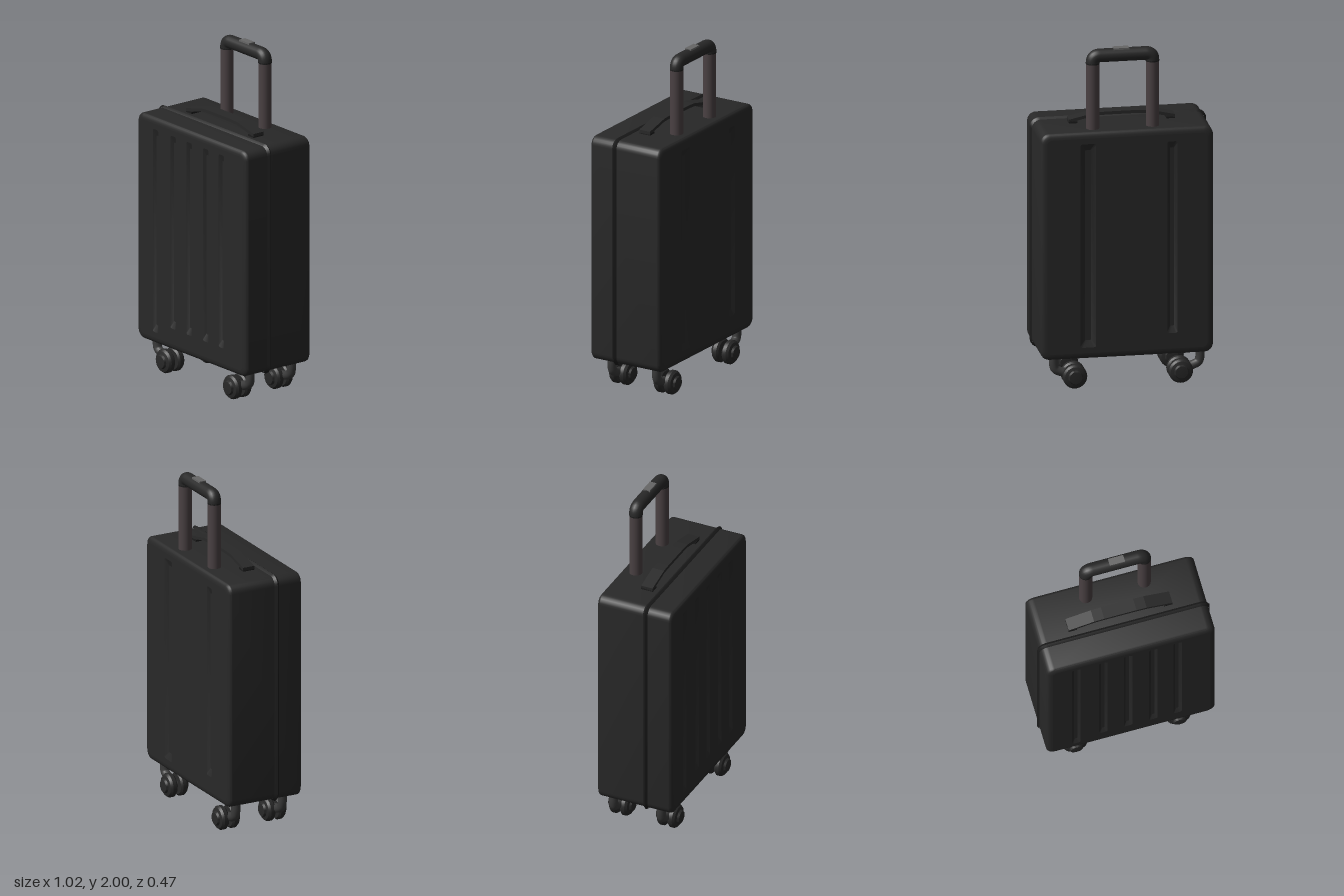
import * as THREE from 'three';
import { toCreasedNormals } from 'three/addons/utils/BufferGeometryUtils.js';

const mat = (color) => new THREE.MeshStandardMaterial({ color });
const shellMat = mat(0x282828), trimMat = mat(0x1c1c1c), postMat = mat(0x4a4143);
const stemMat = mat(0x3a3a3a), buttonMat = mat(0x666666);

function mesh(name, geometry, material, parent, x = 0, y = 0, z = 0) {
  const m = new THREE.Mesh(geometry, material);
  m.name = name;
  m.position.set(x, y, z);
  parent.add(m);
  return m;
}

// Counter-clockwise rounded rectangle outline
function roundRect(x0, x1, y0, y1, r, steps = 6) {
  const pts = [];
  [[x1 - r, y0 + r, -90], [x1 - r, y1 - r, 0], [x0 + r, y1 - r, 90], [x0 + r, y0 + r, 180]].forEach(([cx, cy, start]) => {
    for (let i = 0; i <= steps; i++) {
      const a = THREE.MathUtils.degToRad(start + (90 * i) / steps);
      pts.push(new THREE.Vector2(cx + r * Math.cos(a), cy + r * Math.sin(a)));
    }
  });
  return pts;
}

// Skin through closed rings stacked along z
function loft(rings, crease = 0.6) {
  const pos = [], idx = [], n = rings[0].pts.length;
  rings.forEach(({ pts, z }) => pts.forEach((p) => pos.push(p.x, p.y, z)));
  for (let i = 0; i < rings.length - 1; i++) {
    for (let j = 0; j < n; j++) {
      const k = (j + 1) % n, a = i * n + j, b = i * n + k, c = b + n, d = a + n;
      idx.push(a, b, c, a, c, d);
    }
  }
  const g = new THREE.BufferGeometry();
  g.setAttribute('position', new THREE.Float32BufferAttribute(pos, 3));
  g.setIndex(idx);
  return toCreasedNormals(g, crease);
}

const W = 0.497, Y0 = 0.183, Y1 = 1.527, DEPTH = 0.237, BEVEL = 0.035, BEVEL_Z = 0.022;
const section = (inset) =>
  roundRect(-W + inset, W - inset, Y0 + inset, Y1 - inset, Math.max(0.05 - inset * 0.6, 0.02));

// Flat face of the case with sunken sloped grooves, facing +z; grooves: [x, width, bottom, top]
function facePanel(name, grooves) {
  const panel = new THREE.Group();
  panel.name = name;
  const face = new THREE.Shape(section(BEVEL));
  grooves.forEach(([x, w, bottom, top]) => {
    const rim = roundRect(x - w / 2, x + w / 2, bottom, top, 0.012, 3);
    const s = w * 0.3;
    const floor = roundRect(x - w / 2 + s, x + w / 2 - s, bottom + 0.04, top - 0.04, 0.006, 3);
    face.holes.push(new THREE.Path(rim));
    mesh('grooveWall', loft([{ pts: rim, z: 0 }, { pts: floor, z: -0.015 }]), shellMat, panel);
    mesh('grooveFloor', new THREE.ShapeGeometry(new THREE.Shape(floor)), shellMat, panel, 0, 0, -0.015);
  });
  mesh('faceSheet', new THREE.ShapeGeometry(face), shellMat, panel);
  return panel;
}

function buildCase(root) {
  const body = new THREE.Group();
  body.name = 'case';
  root.add(body);

  // Side walls with rounded front and back edges
  const rings = [], steps = 5;
  for (let i = 0; i <= steps; i++) {
    const a = (i / steps) * Math.PI / 2;
    rings.push({
      pts: section(BEVEL * (1 - Math.sin(a))),
      z: -DEPTH + BEVEL_Z * (1 - Math.cos(a)),
    });
  }
  const front = rings.map(({ pts, z }) => ({ pts, z: -z })).reverse();
  mesh('caseWalls', loft([...rings, ...front]), shellMat, body);

  // Zip running round the case
  const zip = [[0.056, -0.001], [0.06, -0.005], [0.07, -0.012], [0.08, -0.005], [0.084, -0.001]];
  mesh('zip', loft(zip.map(([z, inset]) => ({ pts: section(inset), z })), 0.3), trimMat, body);

  // Grooved faces; the back one is turned round, so its x runs the other way
  const frontFace = facePanel('frontFace',
    [-0.325, -0.165, -0.02, 0.13, 0.272].map((x, i) => [x, 0.05, i ? 0.31 : 0.25, 1.46]));
  frontFace.position.z = DEPTH;
  const backFace = facePanel('backFace', [[-0.225, 0.09, 0.25, 1.46], [0.26, 0.06, 0.31, 1.45]]);
  backFace.position.z = -DEPTH;
  backFace.rotation.y = Math.PI;
  body.add(frontFace, backFace);
}

function buildTrolleyHandle(root) {
  const handle = new THREE.Group();
  handle.name = 'trolleyHandle';
  root.add(handle);
  const xs = [-0.16, 0.185], z = -0.15, r = 0.039, bend = 0.04;
  xs.forEach((x) => mesh('handlePost', new THREE.CylinderGeometry(0.038, 0.038, 0.42, 24), postMat, handle, x, 1.71, z));

  // Arched grip
  const v = (x, y) => new THREE.Vector3(x, y, z);
  const top = 1.957, [l, rt] = xs;
  const path = new THREE.CurvePath();
  path.add(new THREE.LineCurve3(v(l, 1.913), v(l, top - bend)));
  path.add(new THREE.QuadraticBezierCurve3(v(l, top - bend), v(l, top), v(l + bend, top)));
  path.add(new THREE.LineCurve3(v(l + bend, top), v(rt - bend, top)));
  path.add(new THREE.QuadraticBezierCurve3(v(rt - bend, top), v(rt, top), v(rt, top - bend)));
  path.add(new THREE.LineCurve3(v(rt, top - bend), v(rt, 1.913)));
  mesh('grip', new THREE.TubeGeometry(path, 60, r, 20), shellMat, handle);
  xs.forEach((x) => mesh('gripCollar', new THREE.CylinderGeometry(r, r, 0.008, 24), trimMat, handle, x, 1.914, z));
  mesh('releaseButton', new THREE.BoxGeometry(0.09, 0.02, 0.042), buttonMat, handle, 0.022, 1.99, z);
}

// Arched carry strap on top
function buildCarryHandle(root) {
  const spine = [[-0.31, 1.532], [-0.16, 1.566], [-0.1, 1.569], [0.09, 1.569], [0.15, 1.566], [0.302, 1.532]];
  const t = 0.018;
  const outline = [...spine, ...spine.map(([x, y]) => [x, y + t]).reverse()];
  const shape = new THREE.Shape(outline.map(([x, y]) => new THREE.Vector2(x, y)));
  const g = new THREE.ExtrudeGeometry(shape, { depth: 0.072, bevelEnabled: false });
  mesh('carryHandle', g, shellMat, root, 0, 0, -0.045);
  [-0.285, 0.277].forEach((x) =>
    mesh('carryHandleMount', new THREE.BoxGeometry(0.05, 0.02, 0.072), trimMat, root, x, 1.528, -0.009));
}

// Twin-wheel caster: bent stem, axle and two domed wheels
function buildCaster(root, side, z) {
  const caster = new THREE.Group();
  caster.name = 'caster';
  caster.position.set(-0.01 + side * 0.305, 0.07, z);
  root.add(caster);

  const bend = [[0.117, 0.125], [0.117, 0.07], [0.108, 0.04], [0.08, 0.024], [0.03, 0.012], [0, 0.005]];
  const path = new THREE.CatmullRomCurve3(bend.map(([x, y]) => new THREE.Vector3(side * x, y, 0)));
  mesh('stem', new THREE.TubeGeometry(path, 24, 0.026, 14), stemMat, caster);
  mesh('axle', new THREE.CylinderGeometry(0.025, 0.025, 0.06, 16), stemMat, caster).rotation.x = Math.PI / 2;

  const profile = [[0, 0], [0.06, 0], [0.07, 0.01], [0.07, 0.032], [0.06, 0.045], [0.042, 0.05], [0.036, 0.062], [0, 0.065]];
  const wheel = toCreasedNormals(
    new THREE.LatheGeometry(profile.map(([x, y]) => new THREE.Vector2(x, y)), 28), 0.6);
  [1, -1].forEach((s) => {
    const w = mesh('wheel', wheel, shellMat, caster, 0, 0, s * 0.011);
    w.rotation.x = s * Math.PI / 2;
  });
}

export function createModel() {
  const root = new THREE.Group();
  root.name = 'suitcase';
  buildCase(root);
  buildTrolleyHandle(root);
  buildCarryHandle(root);
  for (const side of [-1, 1]) for (const z of [0.14, -0.16]) buildCaster(root, side, z);
  return root;
}
